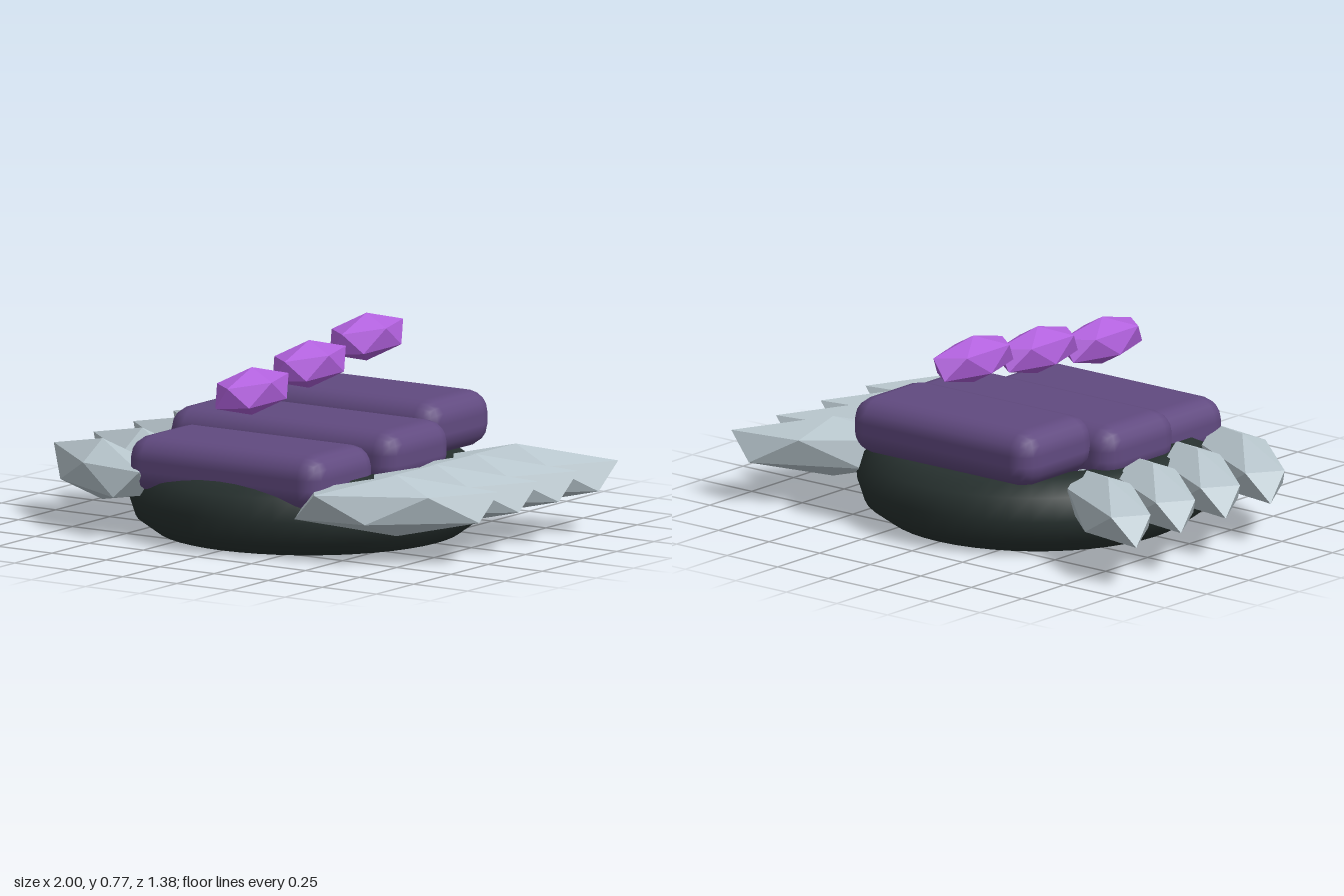
import * as THREE from 'three';
import { RoundedBoxGeometry } from 'three/addons/geometries/RoundedBoxGeometry.js';
import { ConvexGeometry } from 'three/addons/geometries/ConvexGeometry.js';

const paint = (name, color, flatShading = false) => {
  const m = new THREE.MeshStandardMaterial({ color, flatShading });
  m.name = name;
  return m;
};

// Twenty-sided gem with its poles on y, stretched to the given radii
function gemGeometry(rx, ry, rz) {
  const points = [new THREE.Vector3(0, ry, 0), new THREE.Vector3(0, -ry, 0)];
  const h = 1 / Math.sqrt(5), r = 2 * h;
  for (let i = 0; i < 5; i++) {
    const a = (i * Math.PI * 2) / 5;
    const x = rx * r * Math.cos(a), z = rz * r * Math.sin(a);
    points.push(new THREE.Vector3(x, ry * h, z), new THREE.Vector3(-x, -ry * h, z));
  }
  return new ConvexGeometry(points);
}

export function createModel() {
  const model = new THREE.Group();
  model.name = 'shelledCreature';

  const rubber = paint('dark green grey', 0x27312f);
  const shell = paint('dusky purple', 0x614a80);
  const crystal = paint('bright violet', 0xb060dc, true);
  const feather = paint('pale blue grey', 0xb9c7ce, true);

  const add = (name, geometry, material, x, y, z) => {
    const mesh = new THREE.Mesh(geometry, material);
    mesh.name = name;
    mesh.position.set(x, y, z);
    model.add(mesh);
    return mesh;
  };

  // Ring base
  const ring = new THREE.TorusGeometry(0.54, 0.15, 10, 48);
  ring.rotateX(Math.PI / 2);
  add('baseRing', ring, rubber, 0, 0.143, 0);

  // Three cushions stepping up to the back, each with a crystal floating above
  const spine = gemGeometry(0.102, 0.0925, 0.241);
  const rows = [
    ['front', 0.39, 0.29, 0.9, 0.587],
    ['middle', 0, 0.336, 1.06, 0.633],
    ['back', -0.39, 0.385, 0.9, 0.68],
  ];
  for (const [name, z, y, width, crystalY] of rows) {
    add(name + 'Cushion', new RoundedBoxGeometry(width, 0.22, 0.434, 2, 0.09), shell, 0, y, z);
    add(name + 'Crystal', spine, crystal, 0, crystalY, z * 0.985);
  }

  // Four swept-back blades on each side
  const blade = gemGeometry(0.435, 0.118, 0.148);
  for (const side of [1, -1]) {
    for (let i = 0; i < 4; i++) {
      const mesh = add(side > 0 ? 'leftBlade' : 'rightBlade', blade, feather,
        side * 0.68, 0.217, 0.4 - i * 0.267);
      mesh.rotation.y = side * 0.6;
    }
  }
  return model;
}
